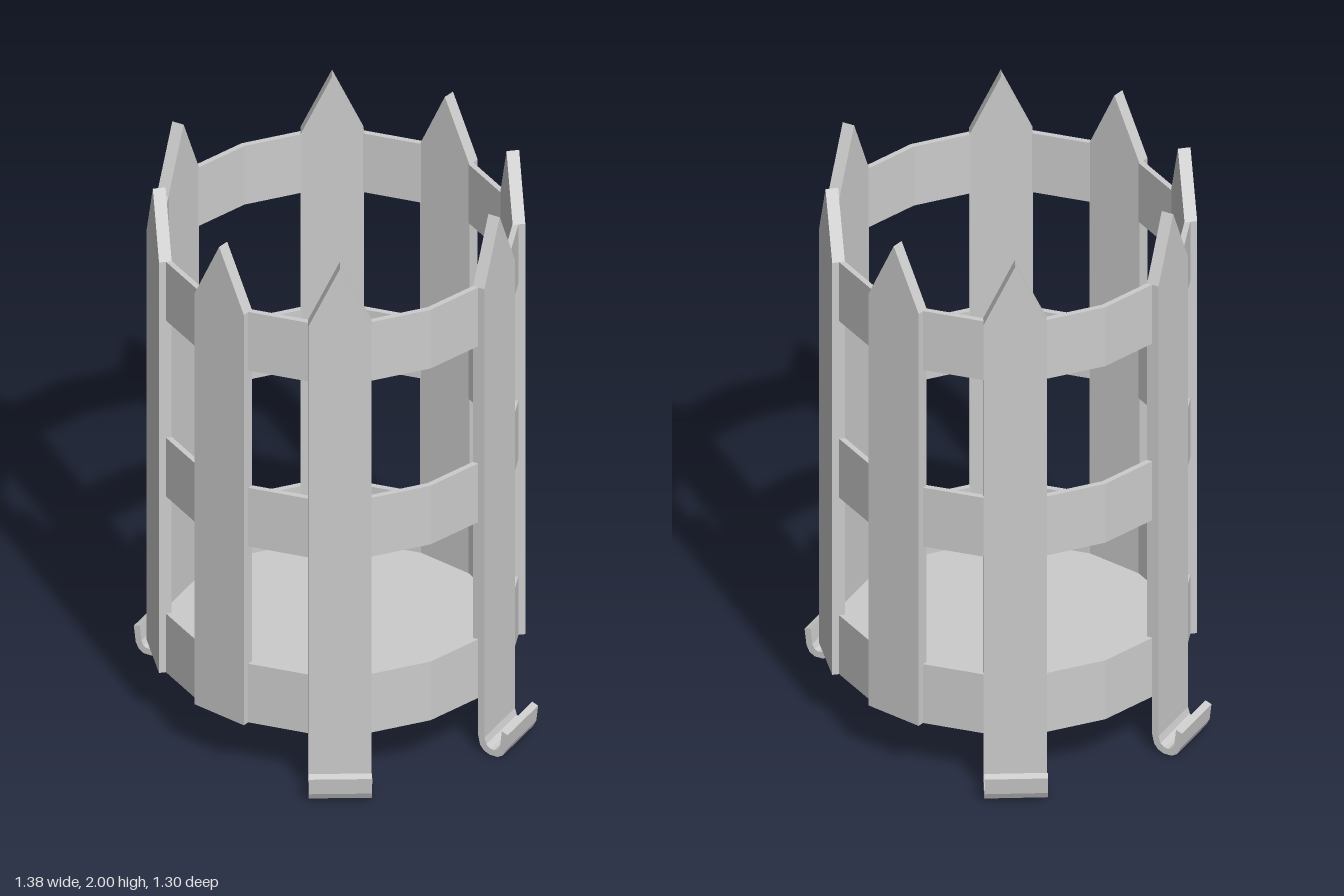
import * as THREE from 'three';

const DEG = Math.PI / 180;
const INNER = 0.564, RIM = 0.583, OUTER = 0.606; // distances from the axis to the flat faces
const WIDTH = 2 * RIM * Math.tan(10 * DEG); // one side of the 18-sided ring
const BASE = 0.205, SHOULDER = 1.78, TIP = 2, BAND = 0.225;

// 18-sided outline with a flat face on +x
function ringPoints(apothem) {
  const r = apothem / Math.cos(10 * DEG);
  return Array.from({ length: 18 }, (_, i) => {
    const a = (10 + 20 * i) * DEG;
    return new THREE.Vector2(r * Math.cos(a), r * Math.sin(a));
  });
}

function extrude(shape, depth) {
  return new THREE.ExtrudeGeometry(shape, { depth, bevelEnabled: false });
}

export function createModel() {
  const model = new THREE.Group();
  model.name = 'fenceBasket';
  const material = new THREE.MeshStandardMaterial({ color: 0xcccccc, flatShading: true });
  const add = (name, geometry, parent = model) => {
    const mesh = new THREE.Mesh(geometry, material);
    mesh.name = name;
    parent.add(mesh);
    return mesh;
  };

  // Three horizontal bands
  const ring = new THREE.Shape(ringPoints(RIM));
  ring.holes.push(new THREE.Path(ringPoints(INNER)));
  const bandGeometry = extrude(ring, BAND).rotateX(-Math.PI / 2);
  [BASE, 0.88, SHOULDER - BAND].forEach((y) => {
    add('band', bandGeometry).position.y = y;
  });

  // Thin floor, flush with the bottom of the lowest band
  const floor = extrude(new THREE.Shape(ringPoints(INNER + 0.005)), 0.006).rotateX(-Math.PI / 2);
  add('floor', floor).position.y = BASE;

  // Pointed picket
  const w = WIDTH / 2;
  const picketShape = new THREE.Shape([
    [-w, BASE], [w, BASE], [w, SHOULDER], [0, TIP], [-w, SHOULDER],
  ].map(([x, y]) => new THREE.Vector2(x, y)));
  const picketGeometry = extrude(picketShape, OUTER - INNER)
    .translate(0, 0, INNER)
    .rotateY(Math.PI / 2);

  // Foot that curls outwards, as a side profile (distance from axis, height)
  const hookShape = new THREE.Shape([
    [RIM, BASE], [RIM, 0.06], [0.59, 0.028], [0.604, 0.01], [0.625, 0],
    [0.655, 0], [0.674, 0.012], [0.685, 0.035], [0.692, 0.095], [0.67, 0.103],
    [0.664, 0.045], [0.655, 0.028], [0.642, 0.022], [0.628, 0.024], [0.613, 0.036],
    [OUTER, 0.06], [OUTER, BASE],
  ].map(([x, y]) => new THREE.Vector2(x, y)));
  const hookGeometry = extrude(hookShape, WIDTH).translate(0, 0, -w);

  // Four pickets on each half turn; the first and last carry a hooked foot
  for (const half of [0, 180]) {
    for (const angle of [0, 40, 80, 120]) {
      const post = new THREE.Group();
      post.name = 'post';
      post.rotation.y = (half + angle) * DEG;
      add('picket', picketGeometry, post);
      if (angle % 120 === 0) add('hookedFoot', hookGeometry, post);
      model.add(post);
    }
  }
  return model;
}
